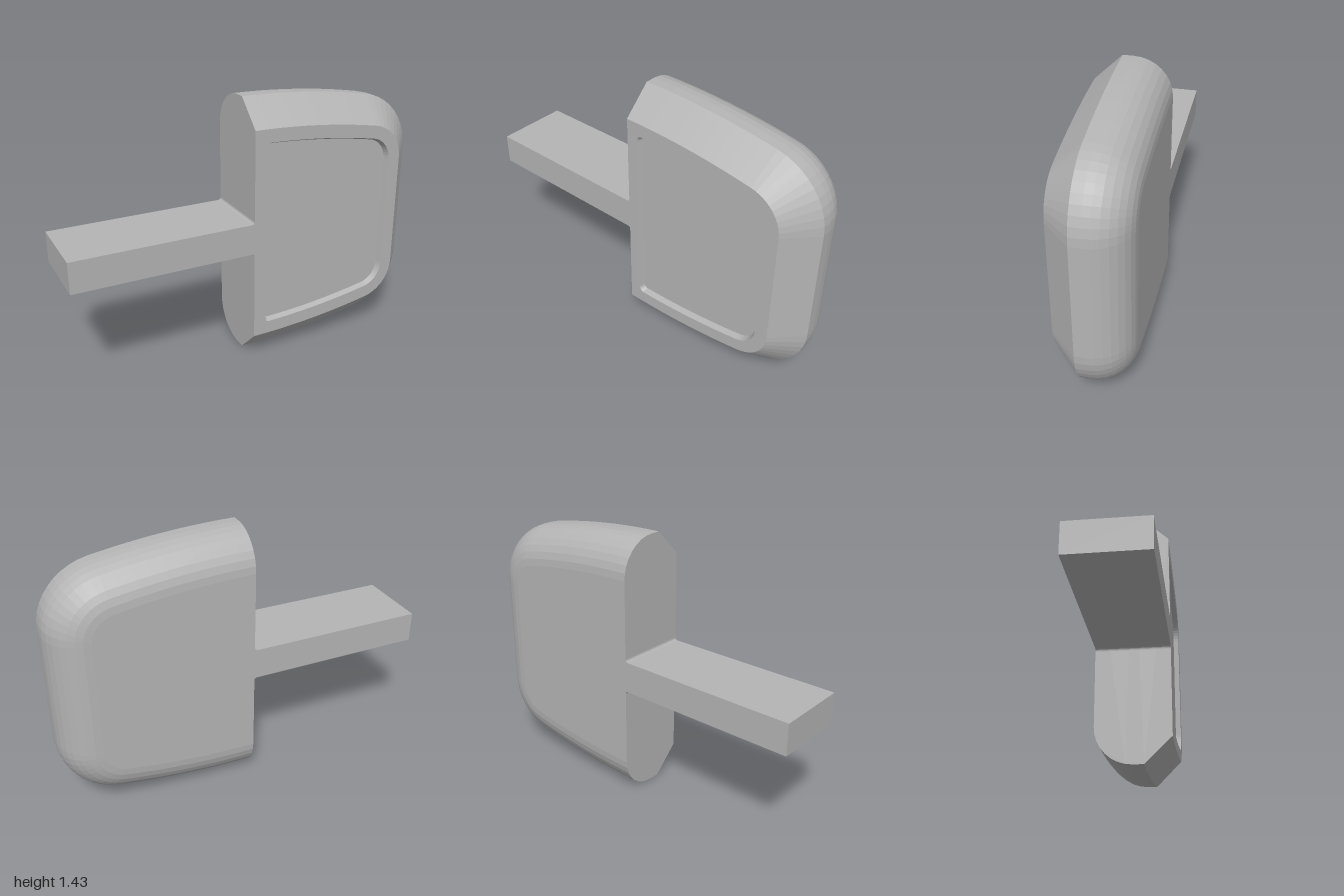
import * as THREE from 'three';

const HALF = 0.715;   // half height of the head
const CUT = -0.03;    // flat side of the head
const DEPTH = 0.2;    // half thickness
const BEND = 0.122;   // bow of the top and bottom edges
const CORNER = 0.34;  // corner radius
const JOIN = 0.721;   // x where bowed edge meets the corner arc

// Outline inset by d, clockwise from the upper left, centred on y = 0.
function outline(d, left = CUT, r = 0) {
  const top = [];
  for (let i = 0; i <= 10; i++) {
    const x = left + r + (JOIN - left - r) * i / 10;
    const slope = 2 * BEND * (x - CUT);
    const n = new THREE.Vector2(slope, 1).normalize();
    top.push(new THREE.Vector2(x - n.x * d, HALF - BEND * (x - CUT) ** 2 - n.y * d));
  }
  const start = Math.atan2(1, 2 * BEND * (JOIN - CUT));
  const cx = JOIN - CORNER * Math.cos(start);
  const cy = HALF - BEND * (JOIN - CUT) ** 2 - CORNER * Math.sin(start);
  for (let i = 1; i <= 10; i++) {
    const a = start * (1 - i / 10);
    top.push(new THREE.Vector2(cx + (CORNER - d) * Math.cos(a), cy + (CORNER - d) * Math.sin(a)));
  }
  if (r > 0) {
    const y = top[0].y - r;
    const round = [];
    for (let i = 0; i < 5; i++) {
      const a = Math.PI - (Math.PI / 2) * i / 5;
      round.push(new THREE.Vector2(left + r + r * Math.cos(a), y + r * Math.sin(a)));
    }
    top.unshift(...round);
  }
  const bottom = top.map((p) => new THREE.Vector2(p.x, -p.y)).reverse();
  return [...top, ...bottom];
}

// Faceted skin between successive loops { pts, z }.
function skin(loops, closed) {
  const pos = [];
  for (let k = 0; k < loops.length - 1; k++) {
    const a = loops[k], b = loops[k + 1], n = a.pts.length;
    for (let i = 0; i < (closed ? n : n - 1); i++) {
      const j = (i + 1) % n;
      const a0 = [a.pts[i].x, a.pts[i].y, a.z], a1 = [a.pts[j].x, a.pts[j].y, a.z];
      const b0 = [b.pts[i].x, b.pts[i].y, b.z], b1 = [b.pts[j].x, b.pts[j].y, b.z];
      pos.push(...a0, ...a1, ...b1, ...a0, ...b1, ...b0);
    }
  }
  const g = new THREE.BufferGeometry();
  g.setAttribute('position', new THREE.Float32BufferAttribute(pos, 3));
  g.computeVertexNormals();
  return g;
}

export function createModel() {
  const model = new THREE.Group();
  model.name = 'paddle';
  const grey = new THREE.MeshStandardMaterial({ color: 0xb4b4b4 });
  grey.name = 'plain grey';
  const add = (name, geometry) => {
    const mesh = new THREE.Mesh(geometry, grey);
    mesh.name = name;
    mesh.position.y = HALF;
    model.add(mesh);
  };

  // Rim: front bevel, short straight band, rounded back
  const profile = [[0.14, DEPTH], [0, 0.055]];
  for (let i = 0; i <= 8; i++) {
    const t = (Math.PI / 2) * i / 8;
    profile.push([0.2 * (1 - Math.cos(t)), -DEPTH * Math.sin(t)]);
  }
  add('headRim', skin(profile.map(([d, z]) => ({ pts: outline(d), z })), false));

  // Front face with the recess opening
  const rim = outline(0.21, 0.03, 0.03);
  const floor = outline(0.222, 0.042, 0.022);
  const front = new THREE.Shape(outline(0.14));
  front.holes.push(new THREE.Path(rim));
  add('frontFace', new THREE.ShapeGeometry(front).translate(0, 0, DEPTH));

  // Shallow recess
  const floorZ = DEPTH - 0.03;
  add('recessWall', skin([{ pts: floor, z: floorZ }, { pts: rim, z: DEPTH }], true));
  add('recessFloor', new THREE.ShapeGeometry(new THREE.Shape(floor)).translate(0, 0, floorZ));

  // Back face
  const back = new THREE.ShapeGeometry(new THREE.Shape(outline(0.2)));
  add('backFace', back.translate(0, 0, DEPTH).rotateX(Math.PI));

  // Flat cut side, drawn in (z, y)
  const half = profile.map(([d, z]) => new THREE.Vector2(z, HALF - d));
  const lower = half.map((p) => new THREE.Vector2(p.x, -p.y)).reverse();
  const side = new THREE.ShapeGeometry(new THREE.Shape([...half, ...lower]));
  add('cutSide', side.rotateY(-Math.PI / 2).translate(CUT, 0, 0));

  // Arm with small fillets where it meets the head
  const h = 0.083, f = 0.016;
  const arm = new THREE.Shape();
  arm.moveTo(-1, -h);
  arm.lineTo(CUT - f, -h);
  arm.quadraticCurveTo(CUT, -h, CUT, -h - f);
  arm.lineTo(CUT, h + f);
  arm.quadraticCurveTo(CUT, h, CUT - f, h);
  arm.lineTo(-1, h);
  arm.closePath();
  const armGeometry = new THREE.ExtrudeGeometry(arm, { depth: 2 * DEPTH, bevelEnabled: false, curveSegments: 5 });
  add('arm', armGeometry.translate(0, 0, -DEPTH));

  return model;
}
